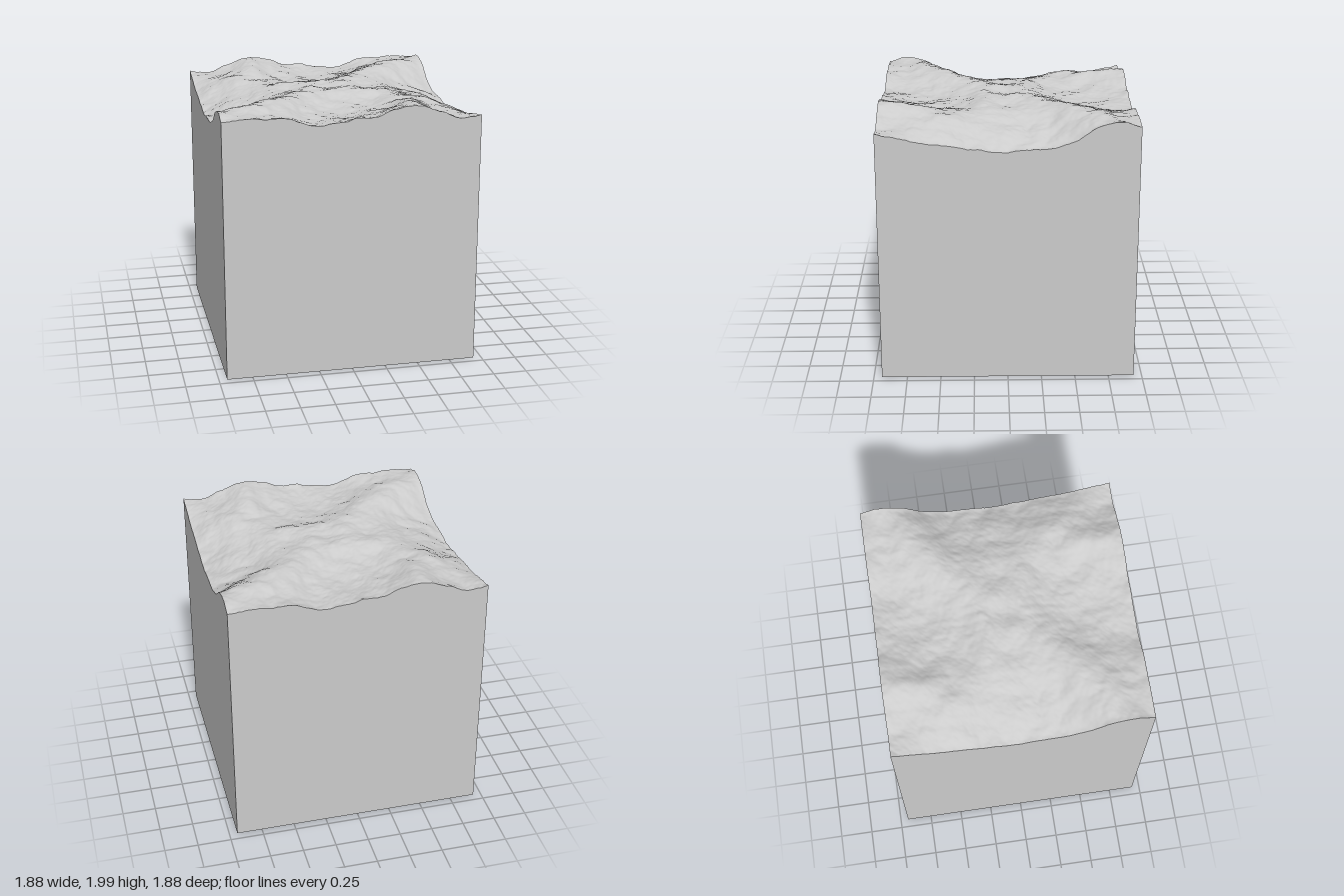
import * as THREE from 'three';

const HALF = 0.94;
const SEGMENTS = 180;

// Heights above 1.7, in hundredths, from the front edge (z = 0.94) back to the
// middle (z = 0). The rear half is the same land turned by 180 degrees.
const FRONT_HALF = [
  [25, 24.5, 25, 24.5, 19, 18, 21.5, 22.5, 28, 29, 24.5, 19, 20],
  [28, 25, 24, 22, 18, 17, 18, 20, 24, 28, 22, 18, 17],
  [24, 27, 28, 25, 20, 17, 17, 18, 21, 26, 23, 19, 13.5],
  [13.5, 20, 25, 27, 24, 19, 18, 18, 20, 22, 24, 18, 10.5],
  [9, 13, 19, 24, 26, 23, 21, 20, 21, 22, 21, 15, 9.5],
  [8, 12, 16, 21, 24, 25, 25, 24, 24, 22, 18, 12, 6.5],
  [6.5, 12, 17, 21, 22.5, 23.5, 23.5, 23.5, 22.5, 21, 17, 12, 6.5],
];
const COUNT = 13;

function control(col, row) {
  const c = THREE.MathUtils.clamp(col, 0, COUNT - 1);
  const r = THREE.MathUtils.clamp(row, 0, COUNT - 1); // row 0 is the front
  return r < FRONT_HALF.length ? FRONT_HALF[r][c] : FRONT_HALF[COUNT - 1 - r][COUNT - 1 - c];
}

function cubic(a, b, c, d, t) {
  return b + 0.5 * t * (c - a + t * (2 * a - 5 * b + 4 * c - d + t * (3 * (b - c) + d - a)));
}

// Smooth large-scale land form
function landForm(x, z) {
  const u = ((x + HALF) / (2 * HALF)) * (COUNT - 1);
  const v = ((HALF - z) / (2 * HALF)) * (COUNT - 1);
  const col = Math.min(Math.floor(u), COUNT - 2);
  const row = Math.min(Math.floor(v), COUNT - 2);
  const across = [-1, 0, 1, 2].map((j) =>
    cubic(...[-1, 0, 1, 2].map((i) => control(col + i, row + j)), u - col));
  return 1.7 + cubic(...across, v - row) / 100;
}

// Seeded gradient noise
function gradient(ix, iz, dx, dz) {
  let h = Math.imul(ix, 374761393) + Math.imul(iz, 668265263);
  h = Math.imul(h ^ (h >>> 13), 1274126177);
  const angle = (((h ^ (h >>> 16)) >>> 0) / 4294967296) * Math.PI * 2;
  return Math.cos(angle) * dx + Math.sin(angle) * dz;
}

function noise(x, z) {
  const ix = Math.floor(x), iz = Math.floor(z);
  const fx = x - ix, fz = z - iz;
  const s = THREE.MathUtils.smootherstep(fx, 0, 1);
  const t = THREE.MathUtils.smootherstep(fz, 0, 1);
  const { lerp } = THREE.MathUtils;
  return lerp(
    lerp(gradient(ix, iz, fx, fz), gradient(ix + 1, iz, fx - 1, fz), s),
    lerp(gradient(ix, iz + 1, fx, fz - 1), gradient(ix + 1, iz + 1, fx - 1, fz - 1), s), t);
}

// Rounded lumps with creases between them, in several sizes
function lumps(x, z) {
  let sum = 0, amplitude = 0.022, frequency = 3.3;
  for (let octave = 0; octave < 5; octave++) {
    const n = noise(x * frequency + 17.3 * octave, z * frequency - 9.1 * octave);
    sum += amplitude * (Math.abs(n) - 0.2);
    amplitude *= 0.52;
    frequency *= 2.05;
  }
  return sum;
}

function height(x, z) {
  return Math.min(2, landForm(x, z) + lumps(x, z) + lumps(-x, -z));
}

export function createModel() {
  const group = new THREE.Group();
  const material = new THREE.MeshStandardMaterial({ color: 0xcccccc });
  const add = (name, geometry) => {
    const mesh = new THREE.Mesh(geometry, material);
    mesh.name = name;
    group.add(mesh);
    return mesh;
  };

  // Rolling ground on top
  const ground = new THREE.PlaneGeometry(2 * HALF, 2 * HALF, SEGMENTS, SEGMENTS).rotateX(-Math.PI / 2);
  const points = ground.attributes.position;
  for (let i = 0; i < points.count; i++) {
    points.setY(i, height(points.getX(i), points.getZ(i)));
  }
  ground.computeVertexNormals();
  add('terrainSurface', ground);

  // Four flat walls whose upper edges follow the ground
  ['frontWall', 'leftWall', 'backWall', 'rightWall'].forEach((name, k) => {
    const wall = new THREE.PlaneGeometry(2 * HALF, 2, SEGMENTS, 1)
      .translate(0, 1, HALF)
      .rotateY((k * Math.PI) / 2);
    const edge = wall.attributes.position;
    for (let i = 0; i <= SEGMENTS; i++) {
      edge.setY(i, height(edge.getX(i), edge.getZ(i)));
    }
    add(name, wall);
  });

  // Flat underside
  add('base', new THREE.PlaneGeometry(2 * HALF, 2 * HALF).rotateX(Math.PI / 2));

  return group;
}
